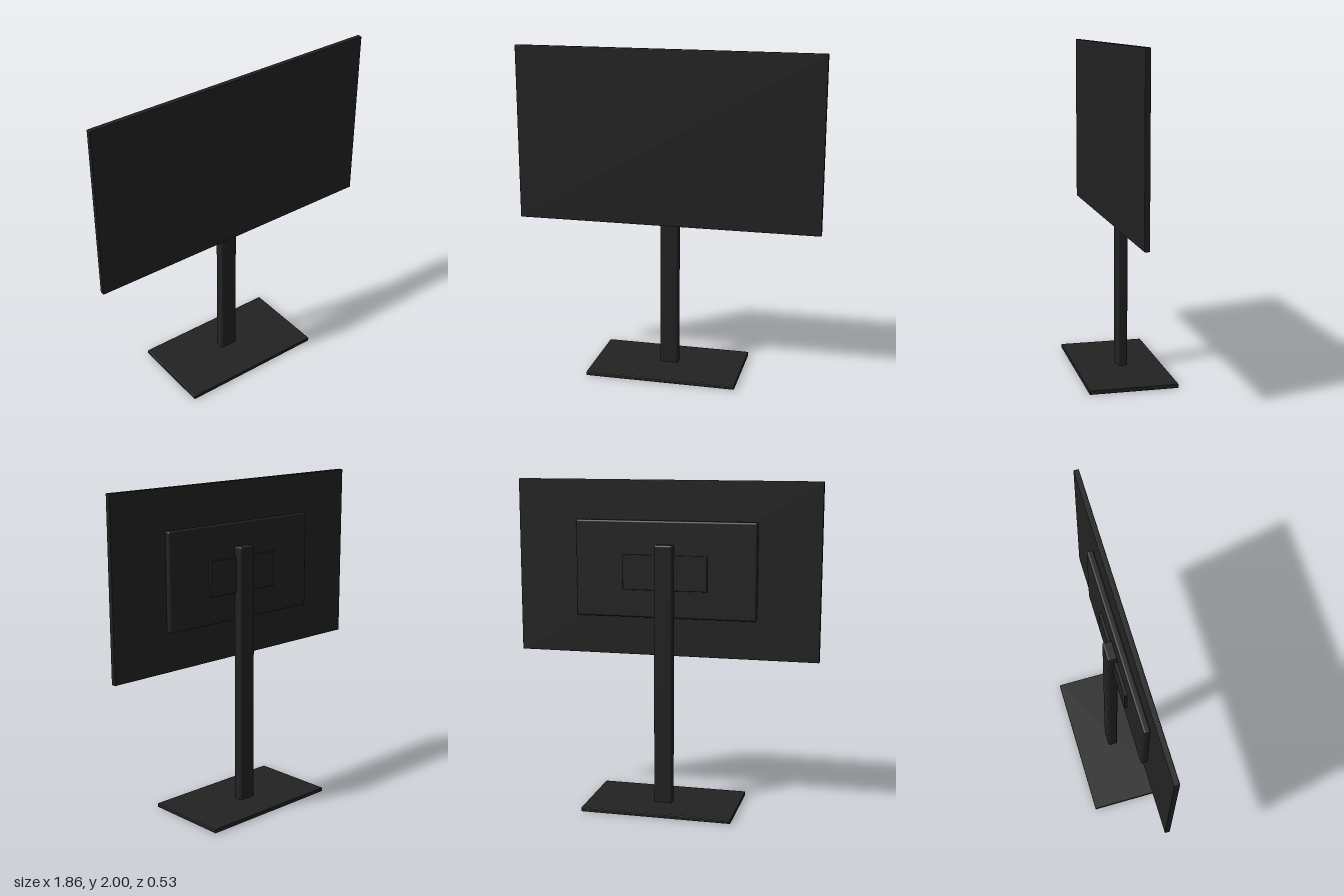
import * as THREE from 'three';
import { RoundedBoxGeometry } from 'three/addons/geometries/RoundedBoxGeometry.js';

export function createModel() {
  const group = new THREE.Group();
  const black = new THREE.MeshStandardMaterial({ color: 0x222222 });
  black.name = 'satin black';

  // Softly rounded box given by its lower and upper corners
  function slab(name, [x0, y0, z0], [x1, y1, z1], radius) {
    const geometry = new RoundedBoxGeometry(x1 - x0, y1 - y0, z1 - z0, 4, radius);
    const mesh = new THREE.Mesh(geometry, black);
    mesh.name = name;
    mesh.position.set((x0 + x1) / 2, (y0 + y1) / 2, (z0 + z1) / 2);
    group.add(mesh);
  }

  // Thin display panel
  slab('screen', [-0.932, 0.935, 0.036], [0.932, 2, 0.067], 0.004);
  // Raised electronics housing on the back of the panel
  slab('rearHousing', [-0.557, 1.173, -0.002], [0.557, 1.76, 0.038], 0.012);
  // Bracket between housing and post
  slab('mountPlate', [-0.26, 1.343, -0.018], [0.26, 1.555, 0.002], 0.003);
  // Upright and foot
  slab('post', [-0.057, 0.015, -0.056], [0.057, 1.62, 0.005], 0.012);
  slab('base', [-0.463, 0, -0.267], [0.463, 0.025, 0.267], 0.004);

  return group;
}
